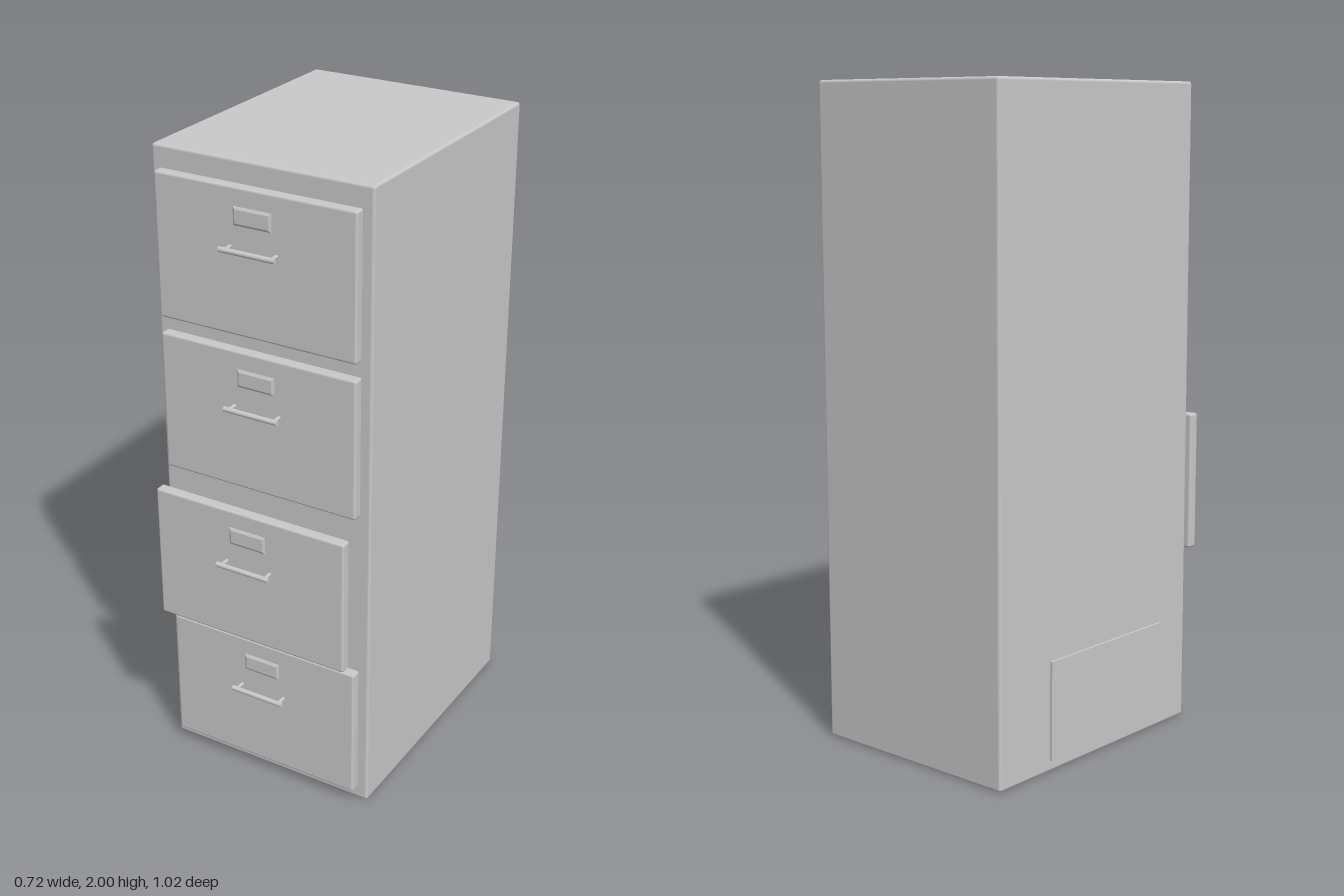
import * as THREE from 'three';
import { RoundedBoxGeometry } from 'three/addons/geometries/RoundedBoxGeometry.js';

const greyMetal = new THREE.MeshStandardMaterial({ color: 0xc8c8c8 });
greyMetal.name = 'grey metal';

function add(parent, name, geometry, x, y, z) {
  const mesh = new THREE.Mesh(geometry, greyMetal);
  mesh.name = name;
  mesh.position.set(x, y, z);
  parent.add(mesh);
  return mesh;
}

// One drawer, origin at the centre of the back of its front panel
function createDrawer() {
  const drawer = new THREE.Group();
  add(drawer, 'drawerFront', new RoundedBoxGeometry(0.648, 0.437, 0.036, 2, 0.008), 0, 0, 0.018);

  // Label plate with a bevelled rim
  const w = 0.054, h = 0.02;
  const outline = new THREE.Shape([
    new THREE.Vector2(-w, -h), new THREE.Vector2(w, -h),
    new THREE.Vector2(w, h), new THREE.Vector2(-w, h),
  ]);
  const plate = new THREE.ExtrudeGeometry(outline, {
    depth: 0.003, bevelEnabled: true, bevelThickness: 0.004, bevelSize: 0.007, bevelSegments: 1,
  });
  add(drawer, 'labelPlate', plate, 0, 0.137, 0.036);

  // Handle: a round bar on two posts
  const handle = new THREE.Group();
  handle.name = 'handle';
  handle.position.set(0, 0.045, 0);
  drawer.add(handle);
  add(handle, 'handleBar', new THREE.CylinderGeometry(0.008, 0.008, 0.18, 16), 0, 0, 0.068)
    .rotation.z = Math.PI / 2;
  for (const side of [-1, 1]) {
    add(handle, 'handlePost', new THREE.CylinderGeometry(0.006, 0.006, 0.034, 12), side * 0.075, 0, 0.051)
      .rotation.x = Math.PI / 2;
  }
  return drawer;
}

export function createModel() {
  const cabinet = new THREE.Group();
  cabinet.name = 'filingCabinet';
  const cx = 0.002;

  // Cabinet body
  add(cabinet, 'body', new RoundedBoxGeometry(0.708, 2, 0.876, 2, 0.009), cx, 1, -0.07);

  // Four drawers, the second from the bottom pulled forward
  for (let i = 0; i < 4; i++) {
    const drawer = createDrawer();
    drawer.name = 'drawer' + (i + 1);
    drawer.position.set(cx, 0.2635 + i * 0.485, i === 1 ? 0.432 : 0.369);
    cabinet.add(drawer);
  }

  // Thin panel low on the right side
  add(cabinet, 'sidePanel', new THREE.BoxGeometry(0.009, 0.302, 0.528), -0.3555, 0.185, -0.026);

  return cabinet;
}
